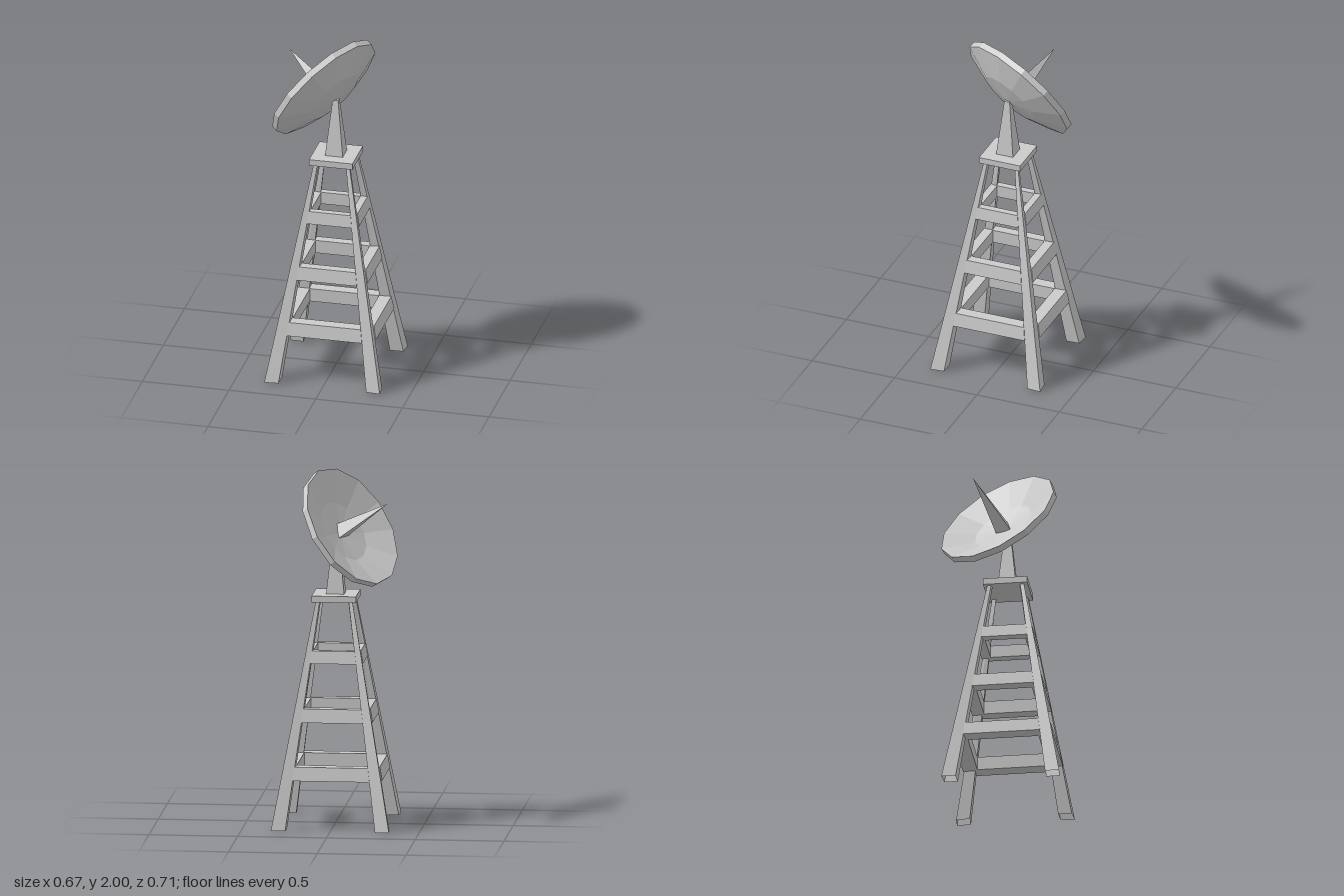
import * as THREE from 'three';

const material = new THREE.MeshStandardMaterial({ color: 0xcccccc, flatShading: true, side: THREE.DoubleSide });

function addMesh(parent, name, geometry) {
  const mesh = new THREE.Mesh(geometry, material);
  mesh.name = name;
  parent.add(mesh);
  return mesh;
}

// Four-sided block between two [x, z] loops, counterclockwise from above
function block(lower, y0, upper, y1, capped) {
  const b = lower.map(([x, z]) => [x, y0, z]);
  const t = upper.map(([x, z]) => [x, y1, z]);
  const positions = [];
  const quad = (p, q, r, s) => positions.push(...p, ...q, ...r, ...p, ...r, ...s);
  for (let i = 0; i < 4; i++) {
    const j = (i + 1) % 4;
    quad(b[i], b[j], t[j], t[i]);
  }
  if (capped) {
    quad(t[0], t[1], t[2], t[3]);
    quad(b[3], b[2], b[1], b[0]);
  }
  const geometry = new THREE.BufferGeometry();
  geometry.setAttribute('position', new THREE.Float32BufferAttribute(positions, 3));
  geometry.computeVertexNormals();
  return geometry;
}

const LEG_TOP = 1.28;
const outerAt = (y) => THREE.MathUtils.lerp(0.333, 0.102, y / LEG_TOP);
const innerAt = (y) => THREE.MathUtils.lerp(0.253, 0.081, y / LEG_TOP);

// Kite-shaped leg section: outer corner, two sides, inner corner
function legSection(a, b, skew, d) {
  return [[b, a - skew], [a, a], [a - skew, b], [d, d]];
}

// Cross beam on the front, its outer face following the slope of the legs
function beamGeometry(y0, y1) {
  const back = innerAt(y1) - 0.006;
  const section = (y) => {
    const w = innerAt(y) + 0.002;
    const z = outerAt(y);
    return [[-w, z], [w, z], [w, back], [-w, back]];
  };
  return block(section(y0), y0, section(y1), y1, true);
}

function createTower() {
  const tower = new THREE.Group();
  tower.name = 'tower';

  const leg = block(
    legSection(0.333, 0.253, 0.006, 0.25), 0,
    legSection(0.102, 0.081, 0.002, 0.076), LEG_TOP, false);
  const beams = [[0.278, 0.355], [0.6, 0.677], [0.927, 0.998]].map(([y0, y1]) => beamGeometry(y0, y1));
  for (let side = 0; side < 4; side++) {
    const angle = side * Math.PI / 2;
    addMesh(tower, 'leg', leg).rotation.y = angle;
    for (const beam of beams) addMesh(tower, 'crossBeam', beam).rotation.y = angle;
  }

  addMesh(tower, 'platform', new THREE.BoxGeometry(0.25, 0.036, 0.25)).position.y = 1.287;

  // Tapered square post carrying the dish
  const post = addMesh(tower, 'pedestal',
    new THREE.CylinderGeometry(0.016 * Math.SQRT2, 0.051 * Math.SQRT2, 0.33, 4));
  post.rotation.y = Math.PI / 4;
  post.position.y = 1.305 + 0.165;
  return tower;
}

// Dish built around its own y axis, with the rim at y = 0
function createDish() {
  const dish = new THREE.Group();
  dish.name = 'dish';
  const R = 0.3626;
  const profile = [
    [0, -0.127], [R * 0.5, -0.105], [R, -0.0375],
    [R, 0], [R * 0.5, -0.0675], [0, -0.09],
  ].map(([r, y]) => new THREE.Vector2(r, y));
  addMesh(dish, 'reflector', new THREE.LatheGeometry(profile, 13, 0.14));

  // Three-sided spike in the middle of the bowl
  addMesh(dish, 'feedSpike', new THREE.ConeGeometry(0.058, 0.38, 3)).position.y = 0.09;

  // Aim the axis up, to one side and backwards
  const axis = new THREE.Vector3(-0.752, 0.531, -0.39).normalize();
  const across = new THREE.Vector3(0, 1, 0).cross(axis).negate().normalize();
  const up = new THREE.Vector3().crossVectors(across, axis);
  dish.quaternion.setFromRotationMatrix(new THREE.Matrix4().makeBasis(across, axis, up));
  dish.position.set(-0.0955, 1.695, -0.029);
  return dish;
}

export function createModel() {
  const model = new THREE.Group();
  model.name = 'dishTower';
  const tower = createTower();
  tower.position.z = 0.0185;
  model.add(tower, createDish());
  return model;
}
